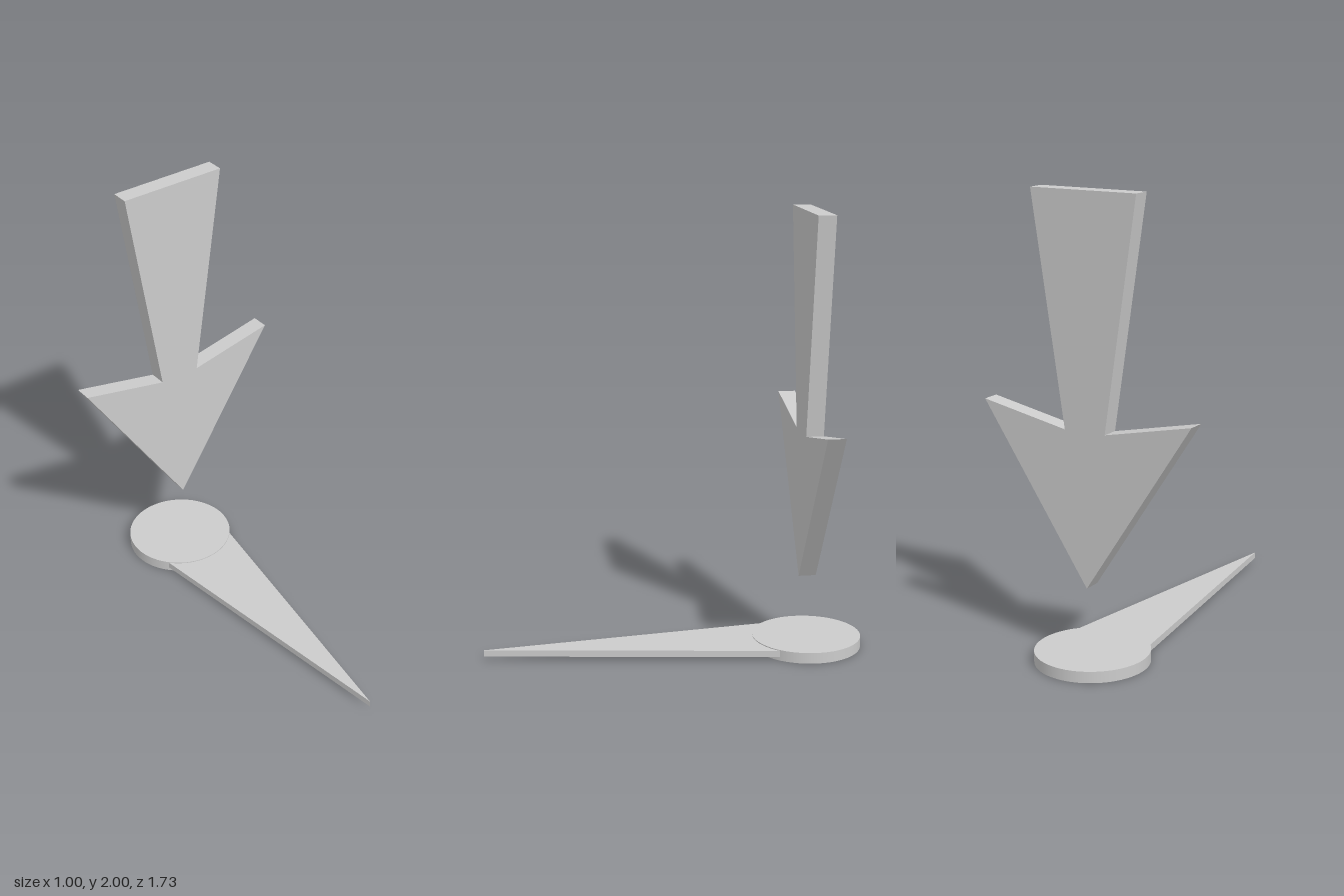
import * as THREE from 'three';

const grey = new THREE.MeshStandardMaterial({ color: 0xcccccc });

// Flat plate: outline points extruded by the given depth along +z
function plate(name, points, depth) {
  const shape = new THREE.Shape(points.map(([x, y]) => new THREE.Vector2(x, y)));
  const geometry = new THREE.ExtrudeGeometry(shape, { depth, bevelEnabled: false });
  const mesh = new THREE.Mesh(geometry, grey);
  mesh.name = name;
  return mesh;
}

export function createModel() {
  const group = new THREE.Group();
  group.name = 'arrowMarker';

  // Upright arrow pointing down at the disc
  const arrow = plate('downArrow', [
    [-0.252, 2], [-0.097, 1.01], [-0.502, 1.093], [-0.002, 0.333],
    [0.5, 1.093], [0.097, 1.01], [0.248, 2],
  ], 0.08);
  arrow.position.z = -0.655;
  group.add(arrow);

  // Round base disc under the arrow
  const disc = new THREE.Mesh(new THREE.CylinderGeometry(0.249, 0.249, 0.05, 64), grey);
  disc.name = 'baseDisc';
  disc.position.set(-0.002, 0.025, -0.615);
  group.add(disc);

  // Long tapering pointer lying flat and reaching forward (outline y becomes z)
  const pointer = plate('pointer', [[-0.187, -0.455], [0.187, -0.455], [-0.016, 0.865]], 0.03);
  pointer.rotation.x = Math.PI / 2;
  pointer.position.y = 0.046;
  group.add(pointer);

  return group;
}
